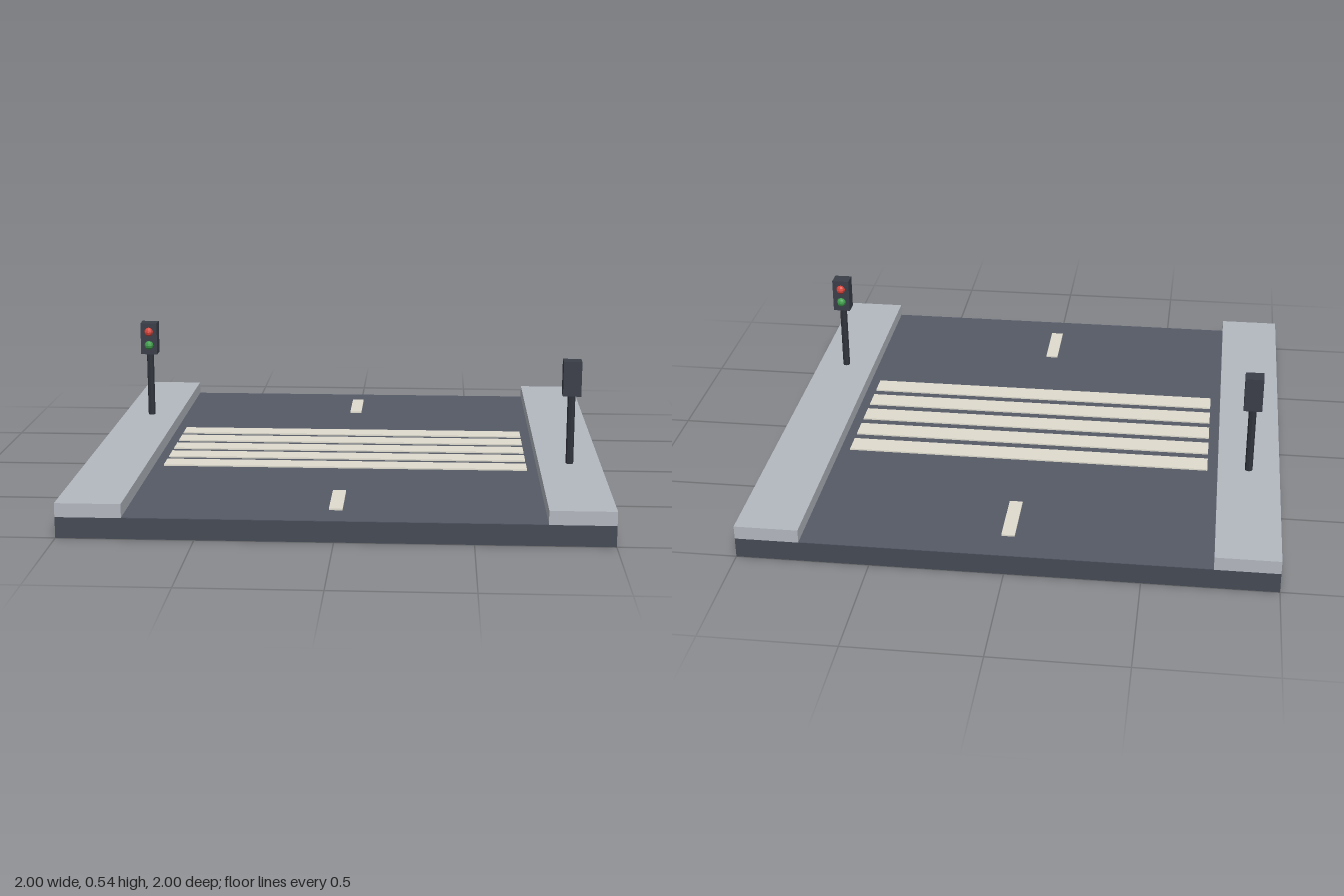
import * as THREE from 'three';

const mat = (color) => new THREE.MeshStandardMaterial({ color });
const flat = (color) => {
  const m = mat(color);
  m.flatShading = true;
  return m;
};

export function createModel() {
  const root = new THREE.Group();
  root.name = 'pedestrianCrossing';

  const baseMat = mat(0x454a55);
  const roadMat = mat(0x555a66);
  const pavementMat = mat(0xb4b8c0);
  const paintMat = mat(0xe0dccf);
  const metalMat = mat(0x3a3e48);
  const poleMat = flat(0x30343c);
  const redMat = flat(0xd8453c);
  const greenMat = flat(0x3fa04c);

  const add = (parent, name, geometry, material, x, y, z) => {
    const mesh = new THREE.Mesh(geometry, material);
    mesh.name = name;
    mesh.position.set(x, y, z);
    parent.add(mesh);
    return mesh;
  };
  // Box standing on height y
  const box = (parent, name, w, h, d, material, x, y, z) =>
    add(parent, name, new THREE.BoxGeometry(w, h, d), material, x, y + h / 2, z);

  // Ground slab with a thin asphalt layer
  box(root, 'base', 2, 0.078, 2, baseMat, 0, 0, 0);
  box(root, 'roadSurface', 1.52, 0.002, 2, roadMat, 0, 0.078, 0);

  // Raised pavements on both sides and the centre-line dashes
  for (const s of [-1, 1]) {
    box(root, 'pavement', 0.24, 0.052, 2, pavementMat, s * 0.88, 0.078, 0);
    box(root, 'centreDash', 0.05, 0.006, 0.24, paintMat, 0, 0.08, s * 0.75);
  }

  // Crossing stripes
  for (let i = -2; i <= 2; i++) {
    box(root, 'crossingStripe', 1.44, 0.006, 0.088, paintMat, 0, 0.08, i * 0.13);
  }

  // Signals face each other diagonally across the road
  const poleGeo = new THREE.CylinderGeometry(0.015, 0.015, 0.28, 8);
  const lampGeo = new THREE.SphereGeometry(0.019, 8, 6);
  for (const s of [-1, 1]) {
    const signal = new THREE.Group();
    signal.name = 'trafficSignal';
    signal.position.set(s * 0.88, 0.13, s * 0.36);
    signal.rotation.y = s > 0 ? Math.PI : 0;
    add(signal, 'pole', poleGeo, poleMat, 0, 0.14, 0);
    box(signal, 'housing', 0.07, 0.136, 0.06, metalMat, 0, 0.272, 0);
    add(signal, 'redLamp', lampGeo, redMat, 0, 0.37, 0.03);
    add(signal, 'greenLamp', lampGeo, greenMat, 0, 0.312, 0.03);
    root.add(signal);
  }

  return root;
}
